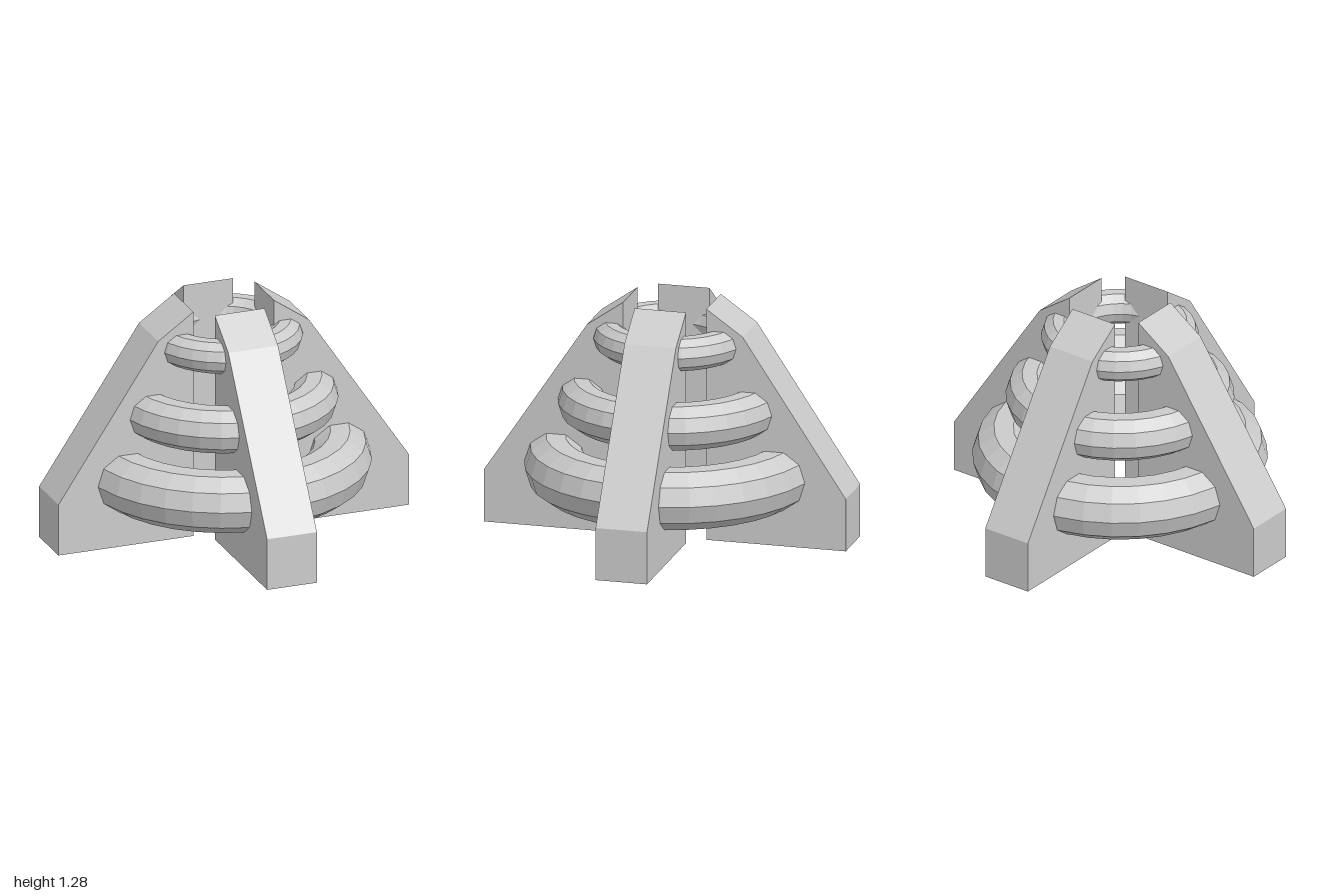
import * as THREE from 'three';

const LEG_WIDTH = 0.284;

// Buttress profile: x runs outward from the central axis, y is up
const LEG_PROFILE = [[0.23, 0], [1, 0], [1, 0.29], [0.43, 1.145], [0.23, 1.285]];

// Stacked rings: centre height, ring radius, tube radius
const RINGS = [
  { name: 'lowerRing', y: 0.36, radius: 0.62, tube: 0.168 },
  { name: 'middleRing', y: 0.718, radius: 0.482, tube: 0.128 },
  { name: 'upperRing', y: 1.075, radius: 0.328, tube: 0.093 },
];

export function createModel() {
  const model = new THREE.Group();
  model.name = 'ringStand';
  const material = new THREE.MeshStandardMaterial({ color: 0xcccccc, flatShading: true });

  // Four upright buttresses around the open centre
  const shape = new THREE.Shape(LEG_PROFILE.map(([x, y]) => new THREE.Vector2(x, y)));
  const legGeometry = new THREE.ExtrudeGeometry(shape, { depth: LEG_WIDTH, bevelEnabled: false });
  legGeometry.translate(0, 0, -LEG_WIDTH / 2);
  ['leftLeg', 'backLeg', 'rightLeg', 'frontLeg'].forEach((name, i) => {
    const leg = new THREE.Mesh(legGeometry, material);
    leg.name = name;
    leg.rotation.y = (i * Math.PI) / 2;
    model.add(leg);
  });

  // Three faceted rings threaded through the buttresses
  for (const { name, y, radius, tube } of RINGS) {
    const geometry = new THREE.TorusGeometry(radius, tube, 10, 32);
    geometry.rotateX(Math.PI / 2);
    const ring = new THREE.Mesh(geometry, material);
    ring.name = name;
    ring.position.y = y;
    model.add(ring);
  }

  return model;
}
